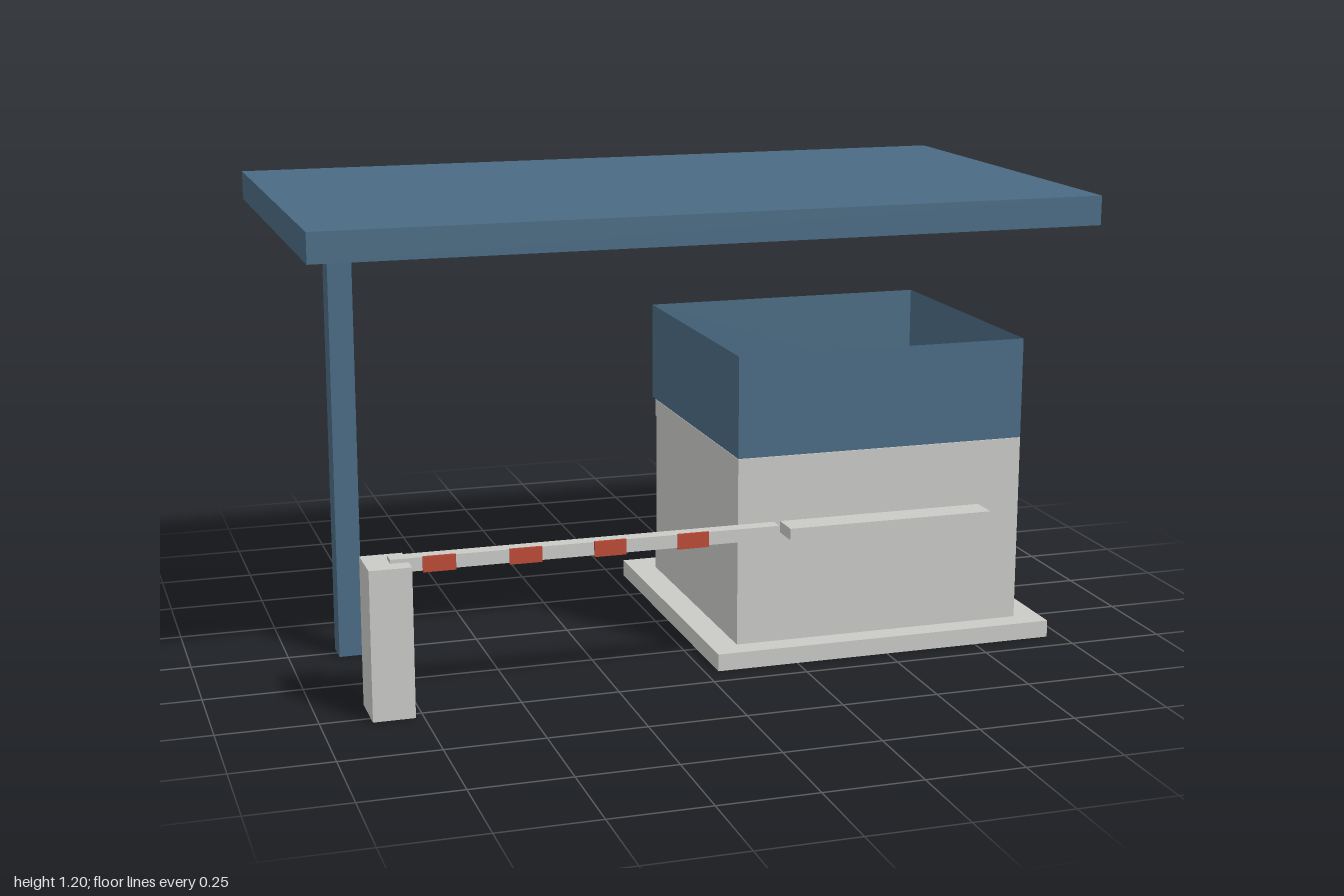
import * as THREE from 'three';

export function createModel() {
  const model = new THREE.Group();
  model.name = 'checkpoint';

  const mat = (name, color, side = THREE.FrontSide) => {
    const m = new THREE.MeshStandardMaterial({ color, side });
    m.name = name;
    return m;
  };
  const blue = mat('blue paint', 0x4a6b84, THREE.DoubleSide);
  const grey = mat('light grey concrete', 0xcacac7, THREE.DoubleSide);
  const glass = mat('tinted glass', 0x85919f, THREE.DoubleSide);
  const red = mat('barrier red', 0xbd4a36);

  // Box given by its limits on each axis
  const box = (name, material, [x0, x1], [y0, y1], [z0, z1], parent = model) => {
    const mesh = new THREE.Mesh(new THREE.BoxGeometry(x1 - x0, y1 - y0, z1 - z0), material);
    mesh.position.set((x0 + x1) / 2, (y0 + y1) / 2, (z0 + z1) / 2);
    mesh.name = name;
    parent.add(mesh);
    return mesh;
  };
  const group = (name) => {
    const g = new THREE.Group();
    g.name = name;
    model.add(g);
    return g;
  };

  // Canopy and its single post
  box('canopy', blue, [-1, 1], [1.125, 1.2], [-0.555, 0.555]);
  box('canopyPost', blue, [-0.872, -0.81], [0, 1.125], [-0.035, 0.035]);

  // Booth body on its slab
  const booth = group('booth');
  const L = 0.105, R = 0.89, F = 0.37;
  box('baseSlab', grey, [0.035, 0.96], [0, 0.045], [-0.43, 0.43], booth);
  box('boothBody', grey, [L, R], [0.045, 0.539], [-0.312, F], booth);
  box('counterShelf', grey, [0.22, 0.775], [0.337, 0.367], [F, 0.445], booth);

  // Back window: sill, header, uprights and two panes
  box('windowSill', grey, [L, R], [0.045, 0.115], [-0.343, -0.312], booth);
  box('windowHeader', grey, [L, R], [0.492, 0.539], [-0.343, -0.312], booth);
  const mid = (L + R) / 2;
  for (const [a, b] of [[L, L + 0.035], [mid - 0.018, mid + 0.018], [R - 0.035, R]]) {
    box('windowUpright', grey, [a, b], [0.115, 0.492], [-0.33, -0.312], booth);
  }
  for (const [a, b] of [[L + 0.035, mid - 0.018], [mid + 0.018, R - 0.035]]) {
    box('windowPane', glass, [a, b], [0.115, 0.492], [-0.317, -0.312], booth);
  }

  // Flat roof inside an open, thin-walled parapet
  const sheet = (name, material, w, h, x, y, z, rx, ry) => {
    const mesh = new THREE.Mesh(new THREE.PlaneGeometry(w, h), material);
    mesh.position.set(x, y, z);
    mesh.rotation.set(rx, ry, 0);
    mesh.name = name;
    booth.add(mesh);
  };
  const W = R - L, y0 = 0.54, y1 = 0.805, yc = (y0 + y1) / 2;
  sheet('boothRoof', grey, W, 2 * F, mid, y0, 0, -Math.PI / 2, 0);
  for (const s of [-1, 1]) {
    sheet('parapetLong', blue, W, y1 - y0, mid, yc, s * F, 0, s > 0 ? 0 : Math.PI);
    sheet('parapetShort', blue, 2 * F, y1 - y0, mid + s * W / 2, yc, 0, 0, s * Math.PI / 2);
  }
  // Glass strip standing behind the front parapet
  box('serviceGlass', glass, [0.22, 0.775], [y0, 0.68], [0.352, 0.36], booth);

  // Barrier pillar, arm and stripes
  const barrier = group('barrier');
  box('barrierPillar', grey, [-0.875, -0.77], [0, 0.38], [0.402, 0.529], barrier);
  box('barrierArm', grey, [-0.815, 0.175], [0.356, 0.39], [0.446, 0.485], barrier);
  for (let i = 0; i < 4; i++) {
    const x = -0.736 + i * 0.214;
    box('barrierStripe', red, [x, x + 0.081], [0.353, 0.392], [0.484, 0.491], barrier);
  }

  return model;
}
